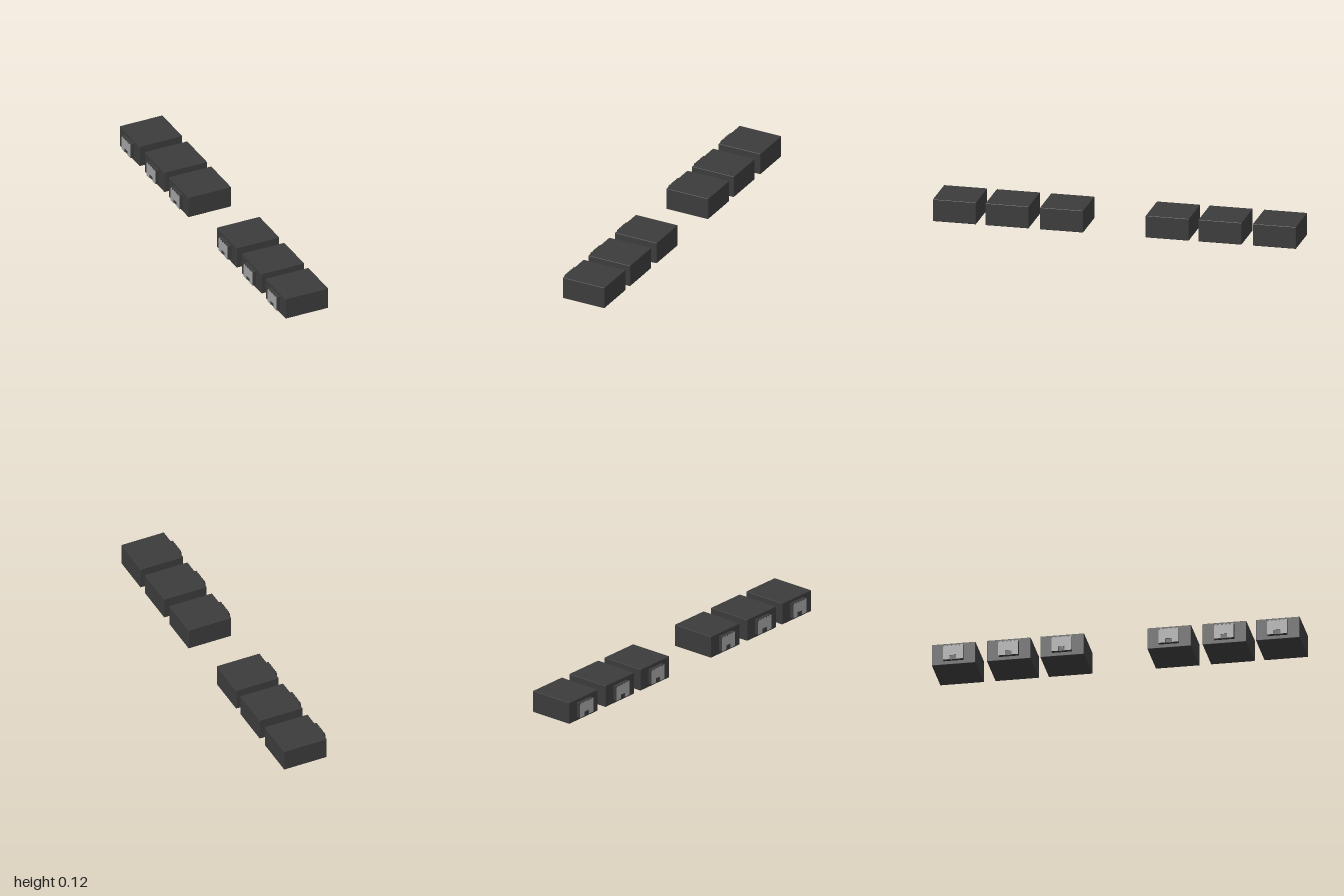
import * as THREE from 'three';
import { RoundedBoxGeometry } from 'three/addons/geometries/RoundedBoxGeometry.js';

const DEPTH = 0.238, HEIGHT = 0.123, X0 = -0.117, X1 = 0.137;
const SOCKET_W = 0.108, SOCKET_Y0 = 0.021, SOCKET_Y1 = 0.104, SOCKET_X = -0.135, PLATE_T = 0.004;

// Plate outline: notch in the bottom edge, small teeth along the top edge
function plateShape() {
  const h = SOCKET_W / 2, n = 0.018, teeth = 5, step = SOCKET_W / teeth;
  const s = new THREE.Shape();
  s.moveTo(-h, SOCKET_Y0);
  s.lineTo(-n, SOCKET_Y0);
  s.lineTo(-n, SOCKET_Y0 + 0.024);
  s.lineTo(n, SOCKET_Y0 + 0.024);
  s.lineTo(n, SOCKET_Y0);
  s.lineTo(h, SOCKET_Y0);
  for (let i = 0; i < teeth; i++) {
    const z = h - i * step;
    s.lineTo(z, SOCKET_Y1);
    s.lineTo(z - step * 0.7, SOCKET_Y1);
    s.lineTo(z - step * 0.7, SOCKET_Y1 - 0.006);
    s.lineTo(z - step, SOCKET_Y1 - 0.006);
  }
  s.closePath();
  return s;
}

export function createModel() {
  const model = new THREE.Group();
  model.name = 'blockRow';
  const dark = new THREE.MeshStandardMaterial({ color: 0x3b3b3b });
  dark.name = 'charcoal';
  const metal = new THREE.MeshStandardMaterial({ color: 0xa0a0a0 });
  metal.name = 'lightGrey';

  const bodyGeo = new RoundedBoxGeometry(X1 - X0, HEIGHT, DEPTH, 2, 0.003);
  const socketGeo = new THREE.BoxGeometry(X0 - SOCKET_X + 0.004, SOCKET_Y1 - SOCKET_Y0, SOCKET_W);
  const plateGeo = new THREE.ExtrudeGeometry(plateShape(), { depth: PLATE_T, bevelEnabled: false });
  plateGeo.rotateY(-Math.PI / 2);

  const add = (parent, name, geo, mat, x, y) => {
    const mesh = new THREE.Mesh(geo, mat);
    mesh.name = name;
    mesh.position.set(x, y, 0);
    parent.add(mesh);
  };

  // Two groups of three identical blocks with a gap in the middle
  [-0.881, -0.581, -0.291, 0.291, 0.591, 0.881].forEach((z, i) => {
    const block = new THREE.Group();
    block.name = `block${i + 1}`;
    block.position.z = z;
    add(block, 'body', bodyGeo, dark, (X0 + X1) / 2, HEIGHT / 2);
    add(block, 'socket', socketGeo, dark, (X0 + 0.004 + SOCKET_X) / 2, (SOCKET_Y0 + SOCKET_Y1) / 2);
    // Grey face covers the end; the side rim stays dark
    add(block, 'socketPlate', plateGeo, [metal, dark], SOCKET_X, 0);
    model.add(block);
  });
  return model;
}
